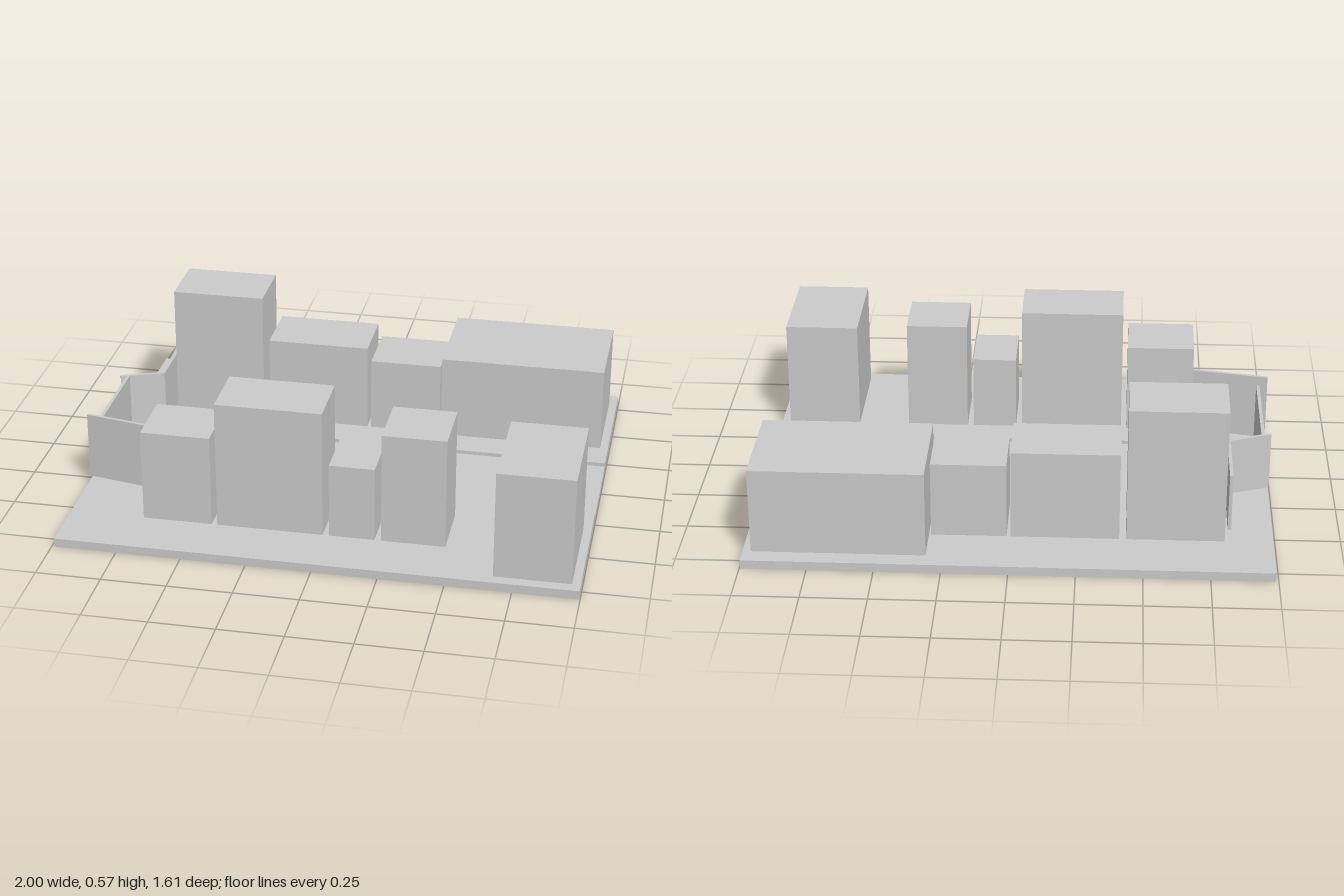
import * as THREE from 'three';

const GROUND = 0.035; // pavement top
const material = new THREE.MeshStandardMaterial({ color: 0xcccccc, flatShading: true });

// Axis-aligned block given by its extents
function block(name, x0, x1, y0, y1, z0, z1) {
  const mesh = new THREE.Mesh(new THREE.BoxGeometry(x1 - x0, y1 - y0, z1 - z0), material);
  mesh.position.set((x0 + x1) / 2, (y0 + y1) / 2, (z0 + z1) / 2);
  mesh.name = name;
  return mesh;
}

// Thin upright wall between two ground points
function wall(name, [xa, za], [xb, zb], top, thickness = 0.013) {
  const dx = xb - xa, dz = zb - za;
  const mesh = new THREE.Mesh(new THREE.BoxGeometry(Math.hypot(dx, dz), top - GROUND, thickness), material);
  mesh.position.set((xa + xb) / 2, (GROUND + top) / 2, (za + zb) / 2);
  mesh.rotation.y = -Math.atan2(dz, dx);
  mesh.name = name;
  return mesh;
}

export function createModel() {
  const model = new THREE.Group();
  model.name = 'streetBlock';

  // Ground: two raised pavements with a sunken road between
  model.add(
    block('backPavement', -0.99, 0.997, 0, GROUND, -0.807, -0.195),
    block('road', -0.99, 0.997, 0, 0.02, -0.195, 0.225),
    block('frontPavement', -0.99, 0.997, 0, GROUND, 0.225, 0.804),
  );

  // Buildings in each row: [x0, x1, top, z0, z1]
  const rows = {
    frontBuilding: [
      [-0.70, -0.432, 0.402, 0.338, 0.583],
      [-0.41, 0.0, 0.547, 0.338, 0.583],
      [0.025, 0.20, 0.335, 0.338, 0.583],
      [0.225, 0.47, 0.48, 0.338, 0.583],
      [0.674, 0.965, 0.463, 0.342, 0.76],
    ],
    backBuilding: [
      [-0.807, -0.436, 0.575, -0.58, -0.332],
      [-0.41, 0.0, 0.39, -0.58, -0.332],
      [0.016, 0.302, 0.335, -0.58, -0.332],
      [0.31, 0.965, 0.375, -0.738, -0.322],
    ],
  };
  for (const [name, list] of Object.entries(rows)) {
    list.forEach(([x0, x1, top, z0, z1], i) =>
      model.add(block(name + (i + 1), x0, x1, GROUND, top, z0, z1)));
  }

  // Thin walls closing the end of the street
  model.add(
    wall('backSideWall', [-0.828, -0.49], [-0.828, -0.2], 0.268),
    wall('backAngledWall', [-0.992, -0.138], [-0.825, -0.202], 0.268),
    wall('streetEndWall', [-0.962, -0.145], [-0.962, 0.292], 0.268),
    wall('frontAngledWall', [-0.999, 0.291], [-0.70, 0.348], 0.306),
  );
  return model;
}
